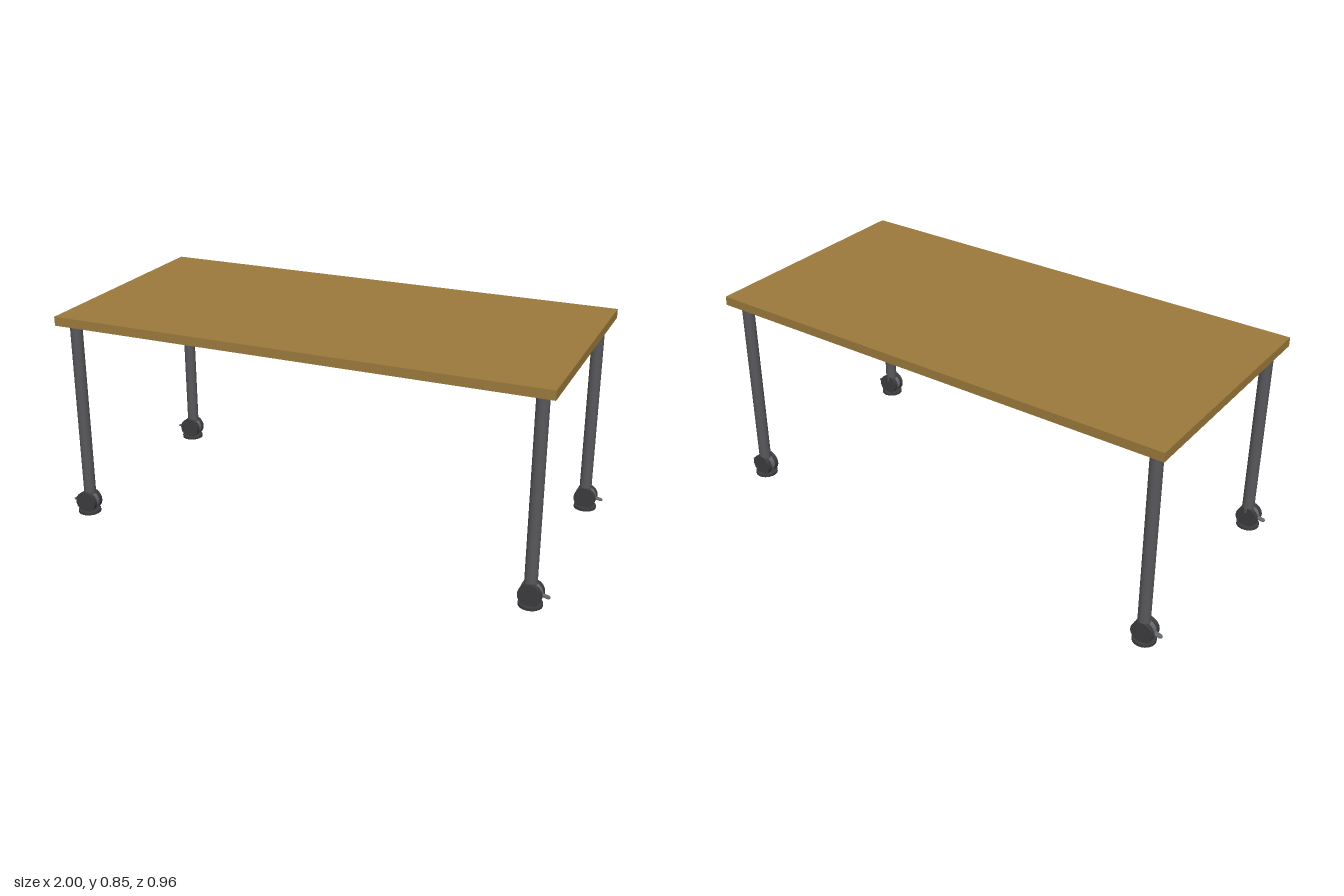
import * as THREE from 'three';

const wood = new THREE.MeshStandardMaterial({ color: 0x9c7a3c });
const steel = new THREE.MeshStandardMaterial({ color: 0x58575b });
const rubber = new THREE.MeshStandardMaterial({ color: 0x3c3c3e });
const housingGrey = new THREE.MeshStandardMaterial({ color: 0x66686f });

function add(parent, name, geometry, material, x = 0, y = 0, z = 0) {
  const mesh = new THREE.Mesh(geometry, material);
  mesh.name = name;
  mesh.position.set(x, y, z);
  parent.add(mesh);
  return mesh;
}

// Twin-wheel caster on a round foot disc, brake lever pointing to +x
function createCaster() {
  const caster = new THREE.Group();
  caster.name = 'caster';
  add(caster, 'footDisc', new THREE.CylinderGeometry(0.045, 0.045, 0.011, 32), rubber, 0, 0.0055, 0);

  const wheel = new THREE.CylinderGeometry(0.044, 0.044, 0.018, 32).rotateX(Math.PI / 2);
  for (const side of [-1, 1]) add(caster, 'wheel', wheel, rubber, 0, 0.049, side * 0.0195);

  const housing = new THREE.CylinderGeometry(0.042, 0.042, 0.022, 32).rotateX(Math.PI / 2);
  add(caster, 'housing', housing, housingGrey, 0, 0.049, 0);

  // Curved brake lever with rounded end
  const s = new THREE.Shape();
  s.moveTo(0.03, -0.01);
  s.lineTo(0.06, -0.01);
  s.absarc(0.06, 0, 0.01, -Math.PI / 2, Math.PI / 2, false);
  s.lineTo(0.03, 0.01);
  const lever = new THREE.ExtrudeGeometry(s, { depth: 0.005, bevelEnabled: false, curveSegments: 10 });
  lever.rotateX(-Math.PI / 2);
  const mesh = add(caster, 'brakeLever', lever, housingGrey, 0.001, 0.055, 0);
  mesh.rotation.z = -0.2;
  return caster;
}

export function createModel() {
  const table = new THREE.Group();
  table.name = 'table';
  add(table, 'tabletop', new THREE.BoxGeometry(1.964, 0.036, 0.962), wood, 0, 0.827, 0);

  // Four legs, each on a caster with its lever facing outwards
  const leg = new THREE.CylinderGeometry(0.024, 0.024, 0.74, 32);
  for (const sx of [-1, 1]) {
    for (const sz of [-1, 1]) {
      add(table, 'leg', leg, steel, sx * 0.926, 0.44, sz * 0.423);
      const caster = createCaster();
      caster.position.set(sx * 0.93, 0, sz * 0.4235 + 0.0045);
      if (sx < 0) caster.rotation.y = Math.PI;
      table.add(caster);
    }
  }
  return table;
}
